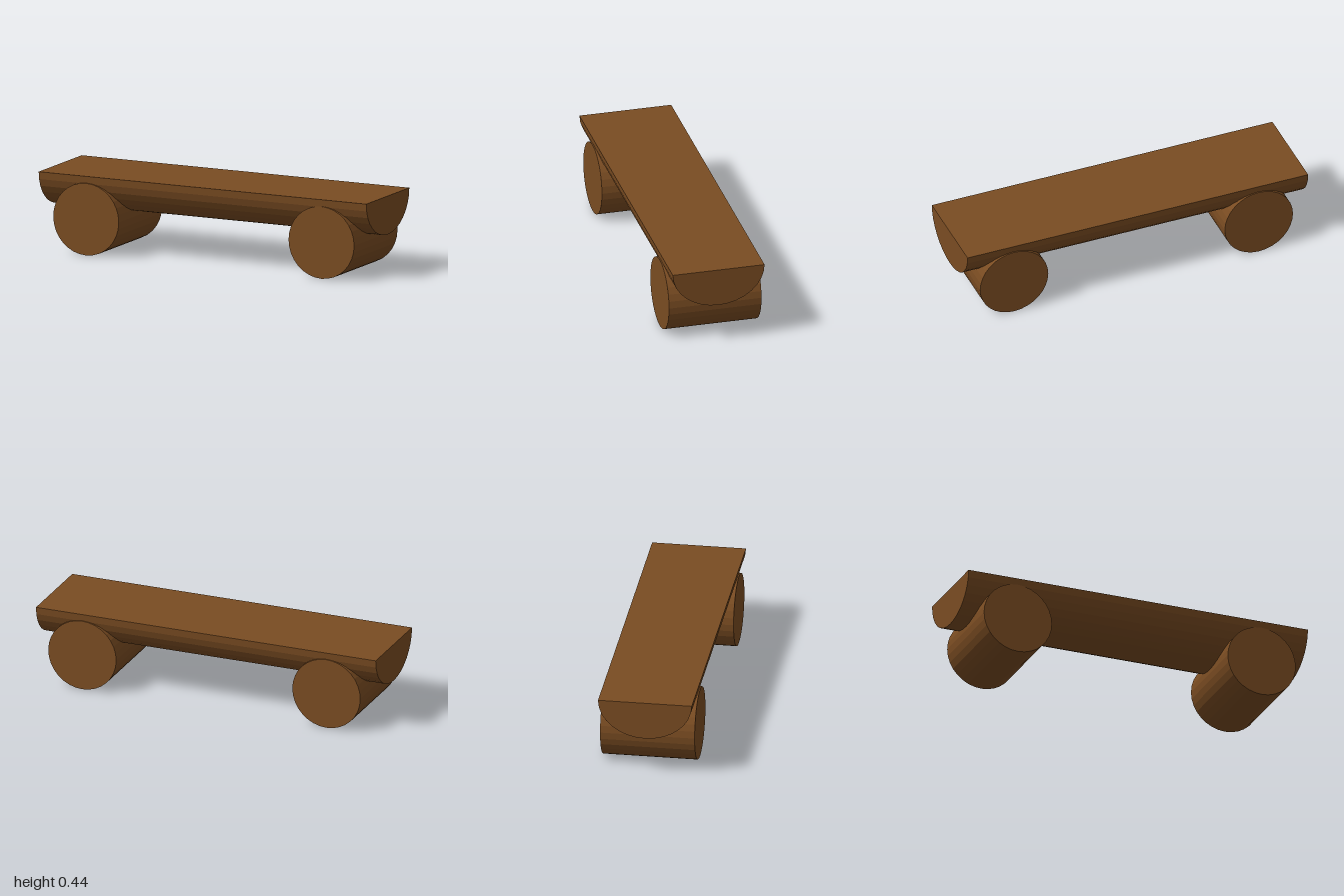
import * as THREE from 'three';

const wood = new THREE.MeshStandardMaterial({ color: 0x7a4c22, flatShading: true });

// Half-log seat: half ellipse with its flat side up, extruded along x
function makeSeat() {
  const section = new THREE.Shape();
  section.absellipse(0, 0, 0.258, 0.213, Math.PI, Math.PI * 2, false);
  section.closePath();
  const geometry = new THREE.ExtrudeGeometry(section, { depth: 2, bevelEnabled: false, curveSegments: 8 });
  geometry.translate(0, 0, -1).rotateY(Math.PI / 2);
  const seat = new THREE.Mesh(geometry, wood);
  seat.name = 'seat';
  seat.position.y = 0.44;
  return seat;
}

// Round log lying across the seat
function makeLog(name, x) {
  const geometry = new THREE.CylinderGeometry(0.2, 0.2, 0.52, 32).rotateX(Math.PI / 2);
  const log = new THREE.Mesh(geometry, wood);
  log.name = name;
  log.position.set(x, 0.202, 0);
  return log;
}

export function createModel() {
  const bench = new THREE.Group();
  bench.name = 'logBench';
  bench.add(makeSeat(), makeLog('rightSupportLog', -0.71), makeLog('leftSupportLog', 0.727));
  return bench;
}
